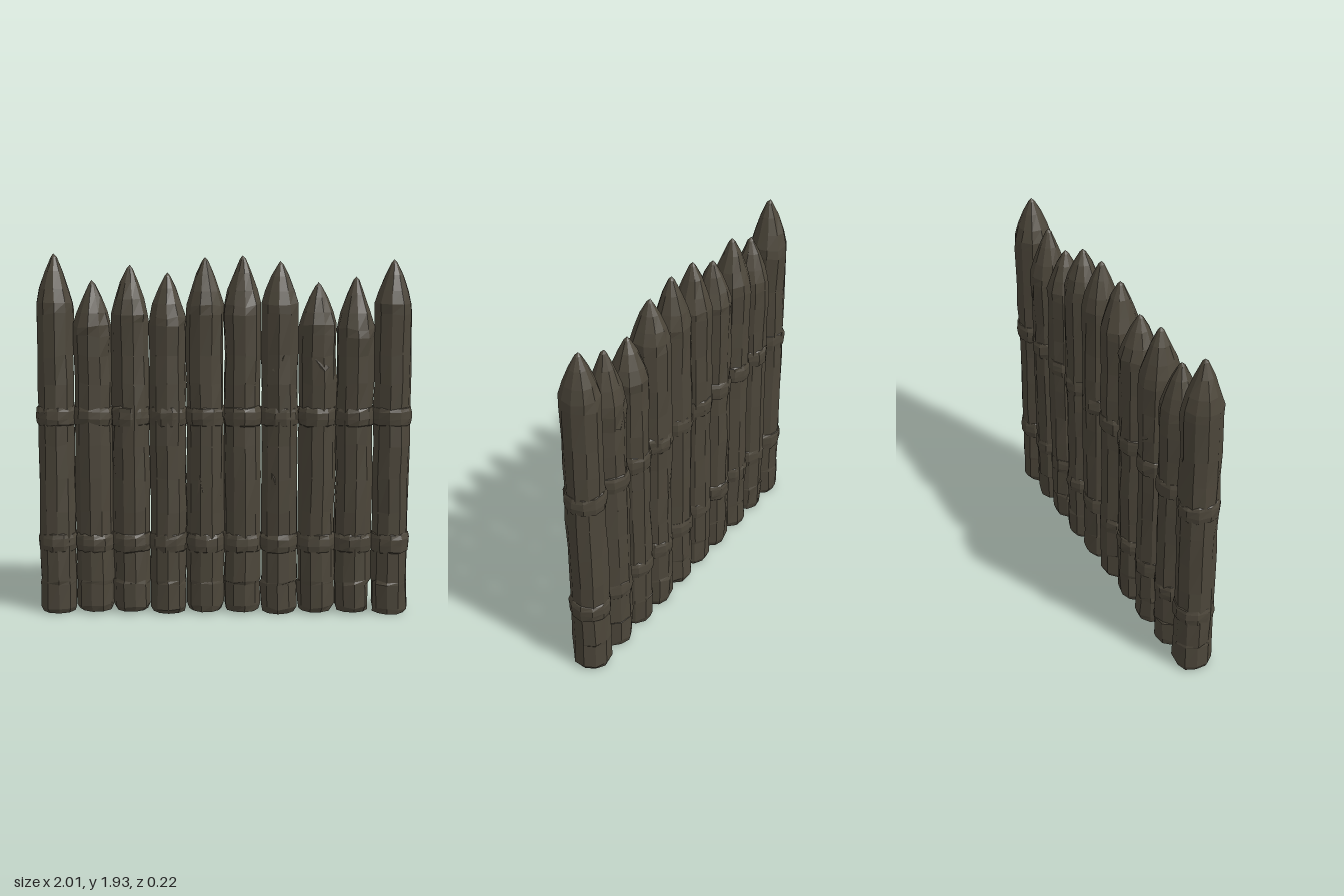
import * as THREE from 'three';

const bark = new THREE.MeshStandardMaterial({ color: 0x4c463a });
bark.name = 'darkWeatheredWood';

// Small seeded generator, returns -1..1
function seeded(seed) {
  let s = seed * 7919 + 17;
  return () => {
    s = (s * 16807) % 2147483647;
    return (s / 2147483647) * 2 - 1;
  };
}

// Faceted loft around the y axis from [y, radius] rings, roughened by a seeded rule
function hewnLoft(rings, { sides, seed, rough, sx = 1, sz = 1, lean = 0, clamp = null }) {
  const rnd = seeded(seed);
  for (let i = 0; i < 5; i++) rnd();
  const phase = rnd() * Math.PI;
  const points = rings.map(([y, r]) => {
    const dx = rnd() * lean, dz = rnd() * lean;
    return Array.from({ length: sides }, (_, j) => {
      const a = phase + (j / sides) * Math.PI * 2;
      const k = r > 0.03 ? 1 + rnd() * rough : 1;
      const dy = r > 0.09 ? rnd() * rough * 0.2 : 0;
      let x = Math.cos(a) * r * k * sx + dx;
      if (clamp) x = clamp(x, y);
      return [x, y + dy, Math.sin(a) * r * k * sz + dz];
    });
  });
  const pos = [];
  for (let i = 0; i < rings.length - 1; i++) {
    for (let j = 0; j < sides; j++) {
      const n = (j + 1) % sides;
      const a = points[i][j], b = points[i][n], c = points[i + 1][j], d = points[i + 1][n];
      if (rings[i][1] > 0) pos.push(...a, ...c, ...b);
      if (rings[i + 1][1] > 0) pos.push(...b, ...c, ...d);
    }
  }
  const g = new THREE.BufferGeometry();
  g.setAttribute('position', new THREE.Float32BufferAttribute(pos, 3));
  g.computeVertexNormals();
  return g;
}

export function createModel() {
  const fence = new THREE.Group();
  fence.name = 'palisade';
  const add = (parent, name, geometry) => {
    const m = new THREE.Mesh(geometry, bark);
    m.name = name;
    parent.add(m);
    return m;
  };

  // Tip height and shoulder height of each stake, from -x to +x
  const stakes = [
    [1.93, 1.67], [1.79, 1.55], [1.87, 1.62], [1.83, 1.6], [1.91, 1.66],
    [1.92, 1.66], [1.89, 1.67], [1.78, 1.56], [1.81, 1.54], [1.9, 1.67],
  ];

  stakes.forEach(([tip, shoulder], i) => {
    const stake = new THREE.Group();
    stake.name = `stake${i + 1}`;
    stake.position.x = -0.894 + i * (1.788 / 9);
    fence.add(stake);
    const foot = i % 3 === 0 ? 0 : 0.01;

    // Gap at the foot between the last two stakes
    let clamp = null;
    if (i === 8) clamp = (x, y) => (y < 0.17 ? Math.min(x, 0.084) : x);
    if (i === 9) clamp = (x, y) => (y < 0.17 ? Math.max(x, -0.088) : x);

    // Log with a chamfered foot and a hewn point
    const rise = tip - shoulder;
    const rings = [[foot, 0], [foot, 0.088], [foot + 0.03, 0.1], [0.165, 0.101], [0.18, 0.101]];
    for (const y of [0.36, 0.56, 0.74, 0.92, 1.1, 1.25, 1.4]) rings.push([y, 0.1]);
    rings.push(
      [shoulder - 0.05, 0.102], [shoulder, 0.1], [shoulder + rise * 0.3, 0.08],
      [shoulder + rise * 0.65, 0.048], [tip - 0.018, 0.016], [tip, 0]
    );
    add(stake, 'log', hewnLoft(rings, {
      sides: 10, seed: i + 3, rough: 0.045, lean: 0.0025, sz: 1.03, clamp,
    }));

    // Lashings bulging around the log
    [0.39, 1.075].forEach((y, k) => {
      const band = [[-0.055, 0.092], [-0.045, 0.106], [-0.012, 0.111],
        [0.025, 0.11], [0.045, 0.104], [0.055, 0.092]].map(([h, r]) => [y + h, r]);
      add(stake, k ? 'upperLashing' : 'lowerLashing', hewnLoft(band, {
        sides: 11, seed: 40 + i * 2 + k, rough: 0.025, sx: 0.975, sz: 1.0,
      }));
    });
  });

  // Raised wood chips: x, y, face direction, tilt
  const chips = [
    [-0.9, 1.37, 1, 0.1], [0.3, 1.36, 1, -0.4], [0.5, 1.36, 1, 0.7], [0.27, 0.73, 1, 0.3],
    [-0.12, 0.72, 1, 0.2], [0.7, 1.45, -1, 0.4], [-0.5, 1.3, -1, -0.5], [-0.9, 1.42, -1, 0.2],
  ];
  for (const [x, y, face, tilt] of chips) {
    const chip = add(fence, 'woodChip', new THREE.ConeGeometry(0.03, 0.1, 4).toNonIndexed());
    chip.geometry.computeVertexNormals();
    chip.scale.z = 0.35;
    chip.position.set(x, y, face * 0.094);
    chip.rotation.set(0.08 * face, 0, tilt);
  }
  return fence;
}
